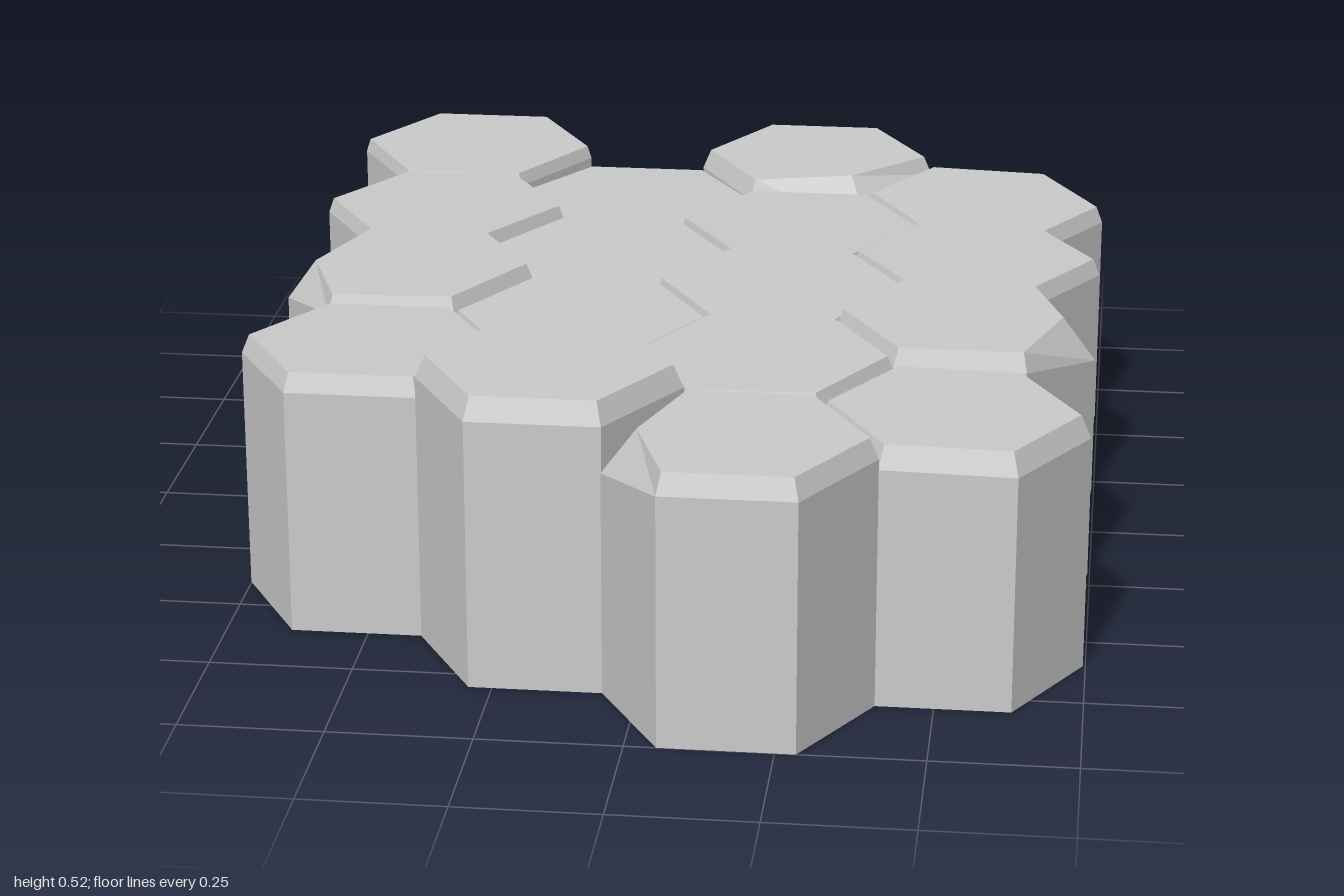
import * as THREE from 'three';

const R = 0.231; // corner radius of a column
const stone = new THREE.MeshStandardMaterial({ color: 0xcccccc, flatShading: true });

// x, z, top height, slope in x, slope in z, bevel width, chips as {corner: inset}
// corners count from +x (0) towards +z (front)
const columns = [
  [-0.52, -0.8, 0.465, 0, 0, 0.008, {}],
  [-0.52, -0.4, 0.468, 0, 0.02, 0.01, {}],
  [-0.52, 0.0, 0.482, 0.02, 0, 0.014, { 3: 0.04 }],
  [-0.52, 0.4, 0.475, 0, 0.02, 0.014, {}],
  [-0.175, -0.6, 0.43, 0, 0.03, 0.007, {}],
  [-0.175, -0.2, 0.45, 0, 0.01, 0.008, {}],
  [-0.175, 0.2, 0.465, 0.01, 0, 0.009, {}],
  [-0.175, 0.6, 0.524, 0, 0, 0.018, {}],
  [0.17, -0.8, 0.466, 0, 0, 0.016, { 1: 0.055 }],
  [0.17, -0.4, 0.453, 0, 0.02, 0.008, {}],
  [0.17, 0.0, 0.468, 0, 0.01, 0.009, {}],
  [0.17, 0.4, 0.478, 0.01, 0, 0.012, {}],
  [0.17, 0.8, 0.484, 0, 0, 0.016, { 3: 0.045 }],
  [0.515, -0.6, 0.445, -0.03, 0, 0.012, {}],
  [0.515, -0.2, 0.466, 0, 0.02, 0.012, {}],
  [0.515, 0.2, 0.492, 0, 0, 0.014, { 0: 0.045 }],
  [0.515, 0.6, 0.466, -0.02, 0, 0.018, {}],
];

// Hexagonal prism with bevelled, slightly sloping top and broken corners
function columnGeometry(height, slopeX, slopeZ, bevel, chips) {
  const ring = (radiusAt, heightAt) => Array.from({ length: 6 }, (_, k) => {
    const a = k * Math.PI / 3, r = radiusAt(k);
    const x = r * Math.cos(a), z = r * Math.sin(a);
    return [x, heightAt(k, x, z), z];
  });
  const topAt = (k, x, z) => height + slopeX * x + slopeZ * z;
  const drop = 0.012 + bevel * 1.6;
  const rings = [
    ring(() => R, () => 0),
    ring(() => R, (k, x, z) => topAt(k, x, z) - drop - (chips[k] || 0)),
    ring((k) => R - bevel - (chips[k] || 0), topAt),
  ];
  const points = [];
  const tri = (a, b, c) => points.push(...a, ...b, ...c);
  for (let k = 0; k < 6; k++) {
    const n = (k + 1) % 6;
    for (let i = 0; i < 2; i++) { // wall, then bevel
      const lo = rings[i], hi = rings[i + 1];
      tri(lo[k], hi[k], hi[n]);
      tri(lo[k], hi[n], lo[n]);
    }
    tri([0, height, 0], rings[2][n], rings[2][k]);
    tri([0, 0, 0], rings[0][k], rings[0][n]);
  }
  const geometry = new THREE.BufferGeometry();
  geometry.setAttribute('position', new THREE.Float32BufferAttribute(points, 3));
  geometry.computeVertexNormals();
  return geometry;
}

export function createModel() {
  const group = new THREE.Group();
  group.name = 'hexagonalStoneColumns';
  columns.forEach(([x, z, height, slopeX, slopeZ, bevel, chips], i) => {
    const column = new THREE.Mesh(columnGeometry(height, slopeX, slopeZ, bevel, chips), stone);
    column.name = `stoneColumn${i + 1}`;
    column.position.set(x, 0, z);
    group.add(column);
  });
  return group;
}
